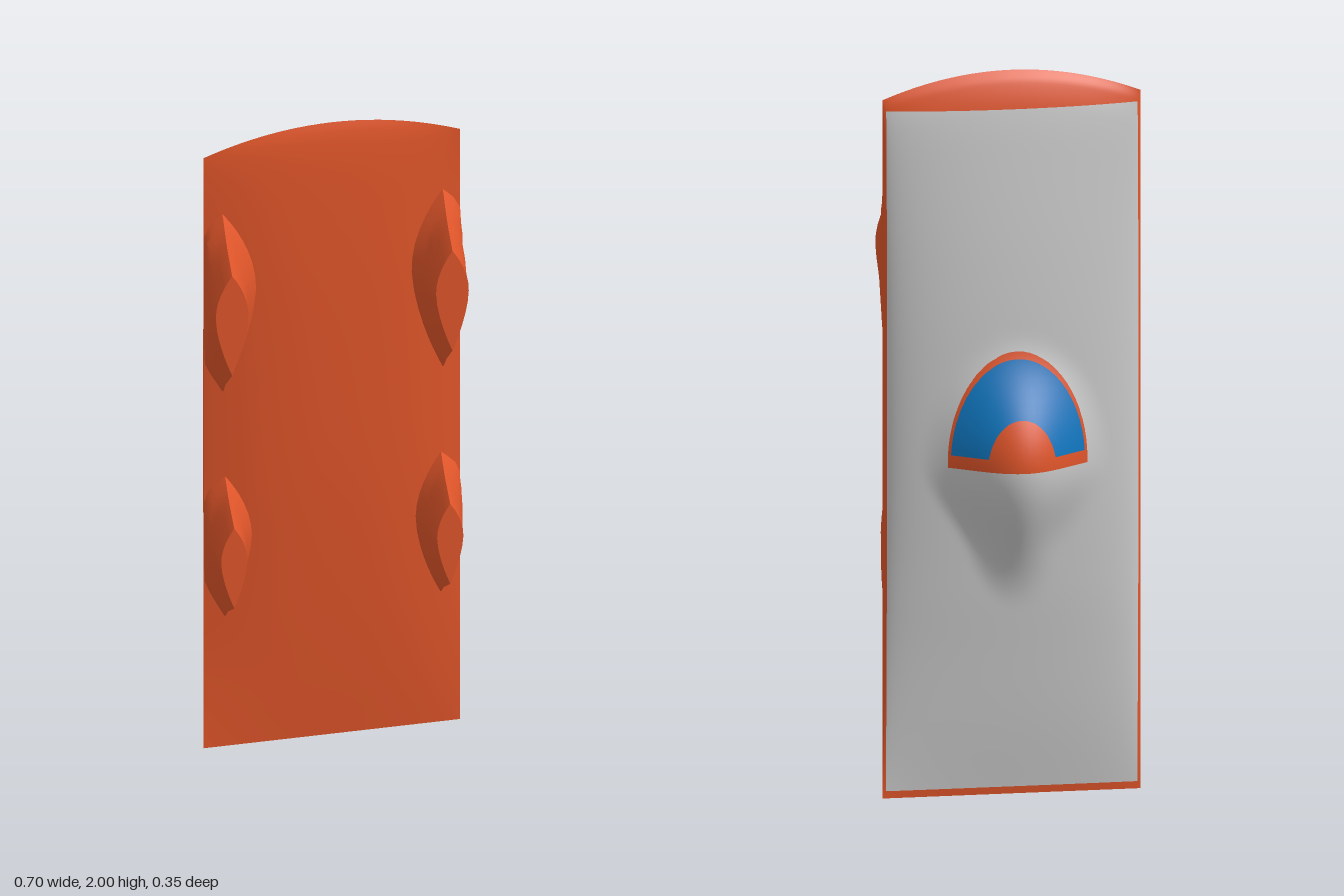
import * as THREE from 'three';
import { toCreasedNormals, mergeVertices } from 'three/addons/utils/BufferGeometryUtils.js';

const HALF = 0.352, EDGE_Z = 0.03;
const ORANGE = 0xe2562a, BLUE = 0x1077c0, GREY = 0xcccccc;

// lengthwise profiles of the hull on its centre line: [y, z]
const BACK = [[0, 0.03], [0.2, 0.002], [0.4, -0.02], [0.6, -0.04], [0.93, -0.06], [1.25, -0.06],
  [1.5, -0.049], [1.75, -0.028], [1.9, -0.01], [1.97, 0.01], [2, 0.03]];
const FRONT = [[0, 0.03], [0.2, 0.045], [0.45, 0.06], [0.8, 0.073], [1.1, 0.075], [1.5, 0.07],
  [1.75, 0.06], [1.9, 0.05], [1.97, 0.04], [2, 0.03]];

// smooth interpolation through a profile
function along(points, y) {
  let i = 0;
  while (i < points.length - 2 && y > points[i + 1][0]) i++;
  const slope = (k) => {
    const a = points[Math.max(k - 1, 0)], b = points[Math.min(k + 1, points.length - 1)];
    return (b[1] - a[1]) / (b[0] - a[0]);
  };
  const [y0, z0] = points[i], [y1, z1] = points[i + 1];
  const h = y1 - y0, t = (y - y0) / h, t2 = t * t, t3 = t2 * t;
  return z0 * (2 * t3 - 3 * t2 + 1) + z1 * (3 * t2 - 2 * t3)
    + h * (slope(i) * (t3 - 2 * t2 + t) + slope(i + 1) * (t3 - t2));
}

// canopy hump, round towards the nose and tapering towards the tail
function hump(x, y) {
  const d = y - 0.93;
  const length = d > 0 ? 0.36 : 0.4;
  const width = 0.26 - (d < 0 ? 0.09 * THREE.MathUtils.smoothstep(-d, 0, 0.25) : 0);
  const r = Math.min(1, Math.hypot(x / width, d / length));
  return 0.113 * Math.cos(r * Math.PI / 2) ** 2;
}

const backZ = (u, t, x, y) =>
  EDGE_Z + (along(BACK, t) - EDGE_Z) * Math.sqrt(Math.max(0, 1 - u * u)) - hump(x, y);
const frontZ = (u, t) => EDGE_Z + (along(FRONT, t) - EDGE_Z) * (1 - Math.abs(u) ** 2.5);

// one skin of the hull, with its rows crowded towards the edges
function skin(depth, facing, cols, rows) {
  const positions = [], index = [];
  for (let j = 0; j <= rows; j++) {
    const t = 1 - Math.cos(Math.PI * j / rows);
    for (let i = 0; i <= cols; i++) {
      const u = Math.sin(Math.PI * (i / cols - 0.5));
      const x = HALF * u, y = t * (1 - 0.035 * u * u);
      positions.push(x, y, depth(u, t, x, y));
      if (i < cols && j < rows) {
        const a = j * (cols + 1) + i, b = a + 1, c = a + cols + 1, d = c + 1;
        if (facing > 0) index.push(a, b, d, a, d, c);
        else index.push(a, d, b, a, c, d);
      }
    }
  }
  const g = new THREE.BufferGeometry();
  g.setAttribute('position', new THREE.Float32BufferAttribute(positions, 3));
  g.setIndex(index);
  g.computeVertexNormals();
  return g;
}

// geometry <-> list of polygons whose corners carry position and normal
function toPolygons(g) {
  const { position, normal } = g.attributes, polys = [];
  for (let i = 0; i < g.index.count; i += 3) {
    polys.push([0, 1, 2].map((k) => {
      const v = g.index.getX(i + k);
      return {
        p: new THREE.Vector3().fromBufferAttribute(position, v),
        n: new THREE.Vector3().fromBufferAttribute(normal, v),
      };
    }));
  }
  return polys;
}

function fromPolygons(polys) {
  const pos = [], nor = [];
  for (const poly of polys) {
    for (let k = 1; k < poly.length - 1; k++) {
      for (const v of [poly[0], poly[k], poly[k + 1]]) {
        pos.push(...v.p.toArray());
        nor.push(...v.n.clone().normalize().toArray());
      }
    }
  }
  const g = new THREE.BufferGeometry();
  g.setAttribute('position', new THREE.Float32BufferAttribute(pos, 3));
  g.setAttribute('normal', new THREE.Float32BufferAttribute(nor, 3));
  return mergeVertices(g);
}

// keep the side of a polygon where the rule is positive
function clip(poly, rule) {
  const out = [];
  poly.forEach((a, i) => {
    const b = poly[(i + 1) % poly.length], fa = rule(a.p), fb = rule(b.p);
    if (fa >= 0) out.push(a);
    if ((fa >= 0) !== (fb >= 0)) {
      const s = fa / (fa - fb);
      out.push({ p: a.p.clone().lerp(b.p, s), n: a.n.clone().lerp(b.n, s) });
    }
  });
  return out;
}

// cut the region meeting all rules out of a surface
function carve(polys, rules) {
  let inside = polys;
  const outside = [];
  for (const rule of rules) {
    const next = [];
    for (const poly of inside) {
      const keep = clip(poly, rule), drop = clip(poly, (p) => -rule(p));
      if (keep.length > 2) next.push(keep);
      if (drop.length > 2) outside.push(drop);
    }
    inside = next;
  }
  return [inside, outside];
}

// teardrop foot flaring into the hull; levels: [z, half width, length up, length down]
function footGeometry(side, cx, cy, k) {
  const levels = [[0.035, 0.11, 0.25, 0.34], [0.055, 0.092, 0.235, 0.32], [0.07, 0.076, 0.215, 0.3],
    [0.088, 0.062, 0.195, 0.275], [0.115, 0.054, 0.172, 0.25], [0.174, 0.045, 0.135, 0.19]];
  const N = 32, positions = [], index = [];
  levels.forEach(([z, w, up, down], l) => {
    for (let i = 0; i < N; i++) {
      const a = 2 * Math.PI * i / N, s = Math.sin(a), c = Math.cos(a);
      const spread = Math.sign(c) * w * k * (1 - Math.abs(s) ** (s > 0 ? 2 : 1.6));
      const x = Math.min(cx + side * spread, 0.351 - 0.03 * Math.max(0, z - 0.03));
      positions.push(side * x, cy + s * k * (s > 0 ? up : down), z);
      const j = (i + 1) % N, p = l * N;
      if (l < levels.length - 1) index.push(p + i, p + j, p + N + j, p + i, p + N + j, p + N + i);
      else index.push(p + i, p + j, levels.length * N);
    }
  });
  positions.push(side * cx, cy, 0.174);
  const g = new THREE.BufferGeometry();
  g.setAttribute('position', new THREE.Float32BufferAttribute(positions, 3));
  g.setIndex(index);
  return toCreasedNormals(g, 0.7);
}

export function createModel() {
  const group = new THREE.Group();
  const add = (name, geometry, color) => {
    const mesh = new THREE.Mesh(geometry, new THREE.MeshStandardMaterial({ color }));
    mesh.name = name;
    group.add(mesh);
  };

  // belly skin
  add('belly', skin(frontZ, 1, 32, 40), ORANGE);

  // back skin, divided into canopy, window, grey deck and orange rim
  const back = toPolygons(skin(backZ, -1, 64, 110));
  const [canopy, rest] = carve(back, [(p) => -0.065 - p.z, (p) => p.y - 0.93]);
  const [glass, frame] = carve(canopy, [(p) => -0.07 - p.z, (p) => p.z + 0.138, (p) => p.y - 0.965]);
  const [deck, rim] = carve(rest, [(p) => 0.343 - Math.abs(p.x), (p) => 1.9 - p.y, (p) => p.y - 0.02]);
  add('canopyWindow', fromPolygons(glass), BLUE);
  add('canopyFrame', fromPolygons(frame), ORANGE);
  add('deck', fromPolygons(deck), GREY);
  add('hullRim', fromPolygons(rim), ORANGE);

  // four feet
  for (const side of [1, -1]) {
    const name = side > 0 ? 'left' : 'right';
    add(name + 'UpperFoot', footGeometry(side, 0.302, 1.5, 1), ORANGE);
    add(name + 'LowerFoot', footGeometry(side, 0.296, 0.7, 0.8), ORANGE);
  }
  return group;
}
